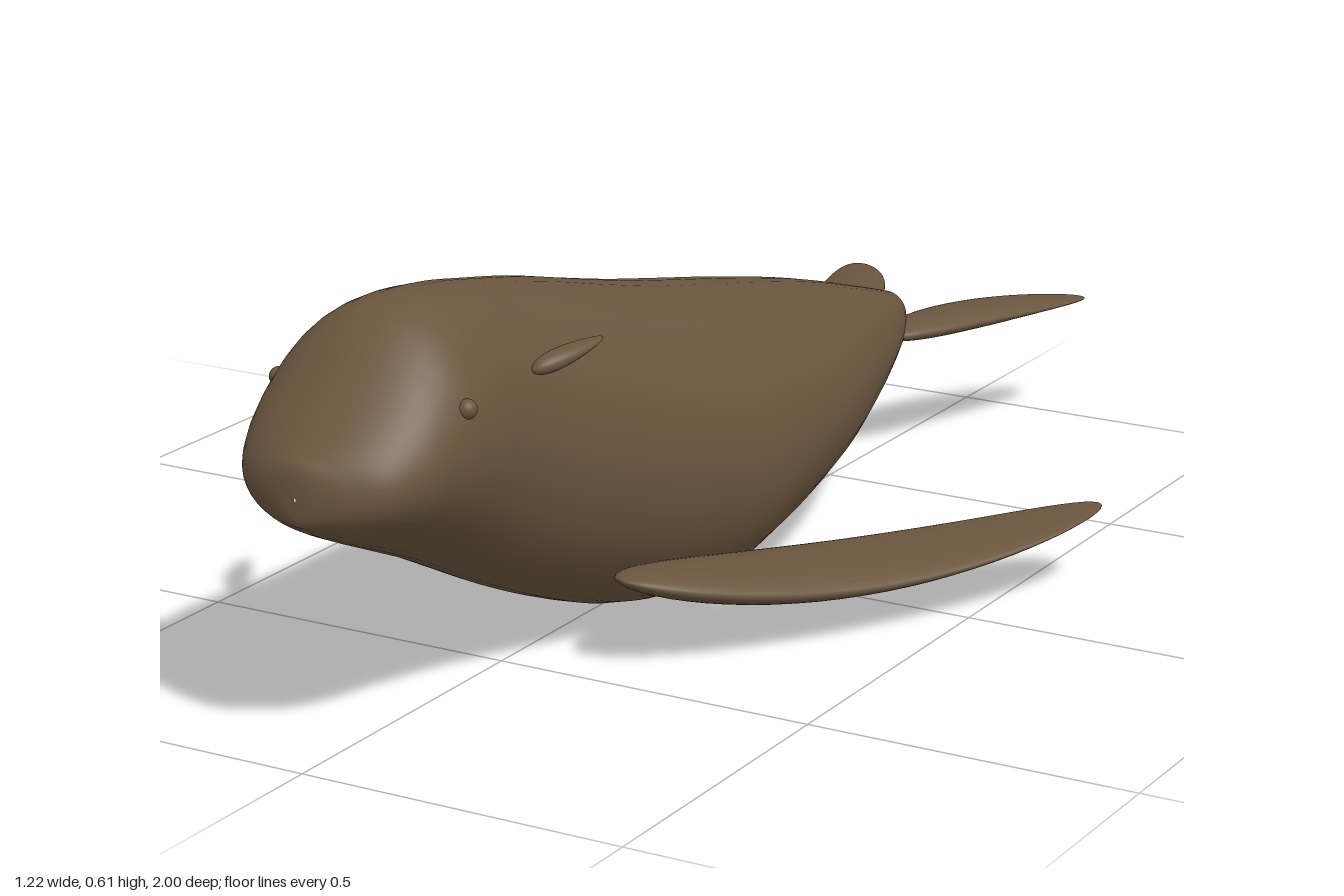
import * as THREE from 'three';

const SEGMENTS = 40;

// Skins a list of elliptical rings { c, u, v }; u x v points along the travel direction.
function loft(rings) {
  const pos = [], index = [];
  for (const { c, u, v } of rings) {
    for (let j = 0; j < SEGMENTS; j++) {
      const a = (j / SEGMENTS) * Math.PI * 2;
      const p = c.clone().addScaledVector(u, Math.cos(a)).addScaledVector(v, Math.sin(a));
      pos.push(p.x, p.y, p.z);
    }
  }
  for (let i = 0; i < rings.length - 1; i++) {
    for (let j = 0; j < SEGMENTS; j++) {
      const k = (j + 1) % SEGMENTS;
      const a = i * SEGMENTS + j, b = i * SEGMENTS + k;
      index.push(a, b, a + SEGMENTS, b, b + SEGMENTS, a + SEGMENTS);
    }
  }
  const g = new THREE.BufferGeometry();
  g.setAttribute('position', new THREE.Float32BufferAttribute(pos, 3));
  g.setIndex(index);
  g.computeVertexNormals();
  return g;
}

// Body stations from tail to nose: z, top, bottom, half width.
const STATIONS = [
  [-0.695, 0.265, 0.19, 0.036], [-0.6, 0.295, 0.168, 0.082], [-0.4, 0.355, 0.118, 0.155],
  [-0.2, 0.405, 0.066, 0.212], [0, 0.45, 0.02, 0.243], [0.14, 0.482, 0.001, 0.25],
  [0.28, 0.518, 0.024, 0.231], [0.42, 0.555, 0.075, 0.2], [0.55, 0.583, 0.132, 0.172],
  [0.65, 0.602, 0.182, 0.163], [0.74, 0.61, 0.227, 0.165], [0.8, 0.601, 0.254, 0.165],
  [0.85, 0.569, 0.276, 0.16], [0.9, 0.522, 0.298, 0.148], [0.95, 0.474, 0.322, 0.12],
  [0.98, 0.445, 0.34, 0.078], [0.996, 0.427, 0.352, 0.034], [1, 0.39, 0.384, 0.001],
];

function bodyGeometry() {
  const curve = (f) => new THREE.CatmullRomCurve3(STATIONS.map(f), false, 'catmullrom', 0.5);
  const heights = curve(([z, t, b]) => new THREE.Vector3((t - b) / 2, (t + b) / 2, z));
  const widths = curve(([z, , , w]) => new THREE.Vector3(w, 0, z));
  const rings = [], n = 102;
  for (let i = 0; i <= n; i++) {
    const h = heights.getPoint(i / n), w = widths.getPoint(i / n);
    rings.push({
      c: new THREE.Vector3(0, h.y, h.z),
      u: new THREE.Vector3(w.x, 0, 0),
      v: new THREE.Vector3(0, h.x, 0),
    });
  }
  return loft(rings);
}

// Leaf-shaped fin along a bowed path from root to tip.
function leafGeometry(side, root, mid, tip, width, thickness) {
  const [a, m, b] = [root, mid, tip].map(([x, y, z]) => new THREE.Vector3(x * side, y, z));
  const control = m.multiplyScalar(2).addScaledVector(a, -0.5).addScaledVector(b, -0.5);
  const path = new THREE.QuadraticBezierCurve3(a, control, b);
  const rings = [], n = 32;
  for (let i = 0; i <= n; i++) {
    const angle = (i / n) * Math.PI;
    const t = (1 - Math.cos(angle)) / 2;
    const s = Math.max(Math.sin(angle), 0.001);
    const dir = path.getTangent(t);
    const across = new THREE.Vector3(0, 1, 0).cross(dir).normalize();
    const up = dir.clone().cross(across);
    rings.push({
      c: path.getPoint(t),
      u: across.multiplyScalar(width * s * (1.12 - 0.24 * t)),
      v: up.multiplyScalar(thickness * s * (1.6 - 1.2 * t)),
    });
  }
  return loft(rings);
}

export function createModel() {
  const model = new THREE.Group();
  model.name = 'seaMammal';
  const fur = new THREE.MeshStandardMaterial({ color: 0x6b563f });
  fur.name = 'brownFur';

  const add = (name, geometry) => {
    const mesh = new THREE.Mesh(geometry, fur);
    mesh.name = name;
    model.add(mesh);
    return mesh;
  };

  add('body', bodyGeometry());

  // Flat cut at the end of the tail
  const end = add('tailEnd', new THREE.CircleGeometry(1, SEGMENTS));
  end.scale.set(0.036, 0.0375, 1);
  end.rotation.y = Math.PI;
  end.position.set(0, 0.2275, -0.695);

  for (const [label, side] of [['left', 1], ['right', -1]]) {
    add(label + 'FrontFlipper', leafGeometry(side,
      [0.18, 0.145, 0.468], [0.355, 0.082, 0.085], [0.6, 0.126, -0.24], 0.103, 0.024));
    add(label + 'HindFlipper', leafGeometry(side,
      [0.055, 0.223, -0.575], [0.122, 0.221, -0.8], [0.215, 0.211, -1], 0.055, 0.016));
    add(label + 'Ear', leafGeometry(side,
      [0.148, 0.495, 0.645], [0.172, 0.51, 0.59], [0.19, 0.522, 0.53], 0.019, 0.012));

    const eye = add(label + 'Eye', new THREE.SphereGeometry(0.014, 20, 14));
    eye.position.set(0.152 * side, 0.487, 0.815);
  }
  return model;
}
